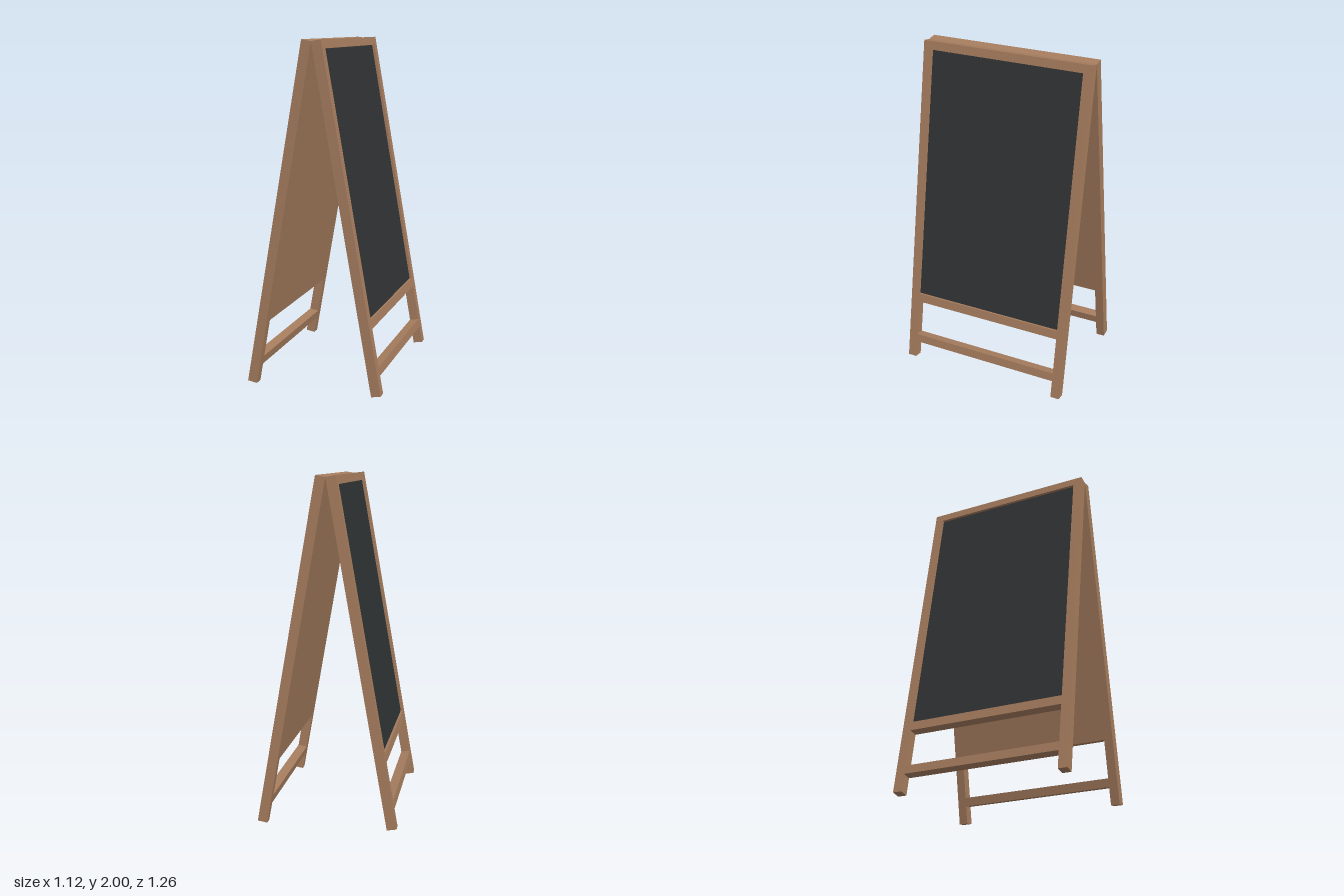
import * as THREE from 'three';

const WIDTH = 1.05, THICK = 0.057, BAR = 0.053, LEAN = THREE.MathUtils.degToRad(10);
const LENGTH = (2 - THICK * Math.sin(LEAN)) / Math.cos(LEAN);
const INNER = WIDTH - 2 * BAR;
const RECESS = 0.015, SLATE = 0.012;

const wood = new THREE.MeshStandardMaterial({ color: 0xa67d5e });
const slate = new THREE.MeshStandardMaterial({ color: 0x303334 });

// Box centred on x, spanning y0..y1 along the panel and z0..z1 through it
function slab(name, material, x, width, y0, y1, z0, z1) {
  const mesh = new THREE.Mesh(new THREE.BoxGeometry(width, y1 - y0, z1 - z0), material);
  mesh.name = name;
  mesh.position.set(x, (y0 + y1) / 2, (z0 + z1) / 2);
  return mesh;
}

// One leaning side: z = 0 is the inner face, z = THICK the outer face
function createPanel(name) {
  const panel = new THREE.Group();
  panel.name = name;

  // Legs run the full length
  for (const side of [-1, 1]) {
    panel.add(slab(side > 0 ? 'leftLeg' : 'rightLeg', wood,
      side * (WIDTH - BAR) / 2, BAR, 0, LENGTH, 0, THICK));
  }

  // Rails between the legs
  const rails = [
    ['topRail', LENGTH - 0.05, LENGTH],
    ['lowerRail', 0.383, 0.437],
    ['crossbar', 0.106, 0.157],
  ];
  for (const [railName, y0, y1] of rails) {
    panel.add(slab(railName, wood, 0, INNER, y0, y1, 0, THICK));
  }

  // Recessed writing surface with a wooden back flush to the inner face
  const back = THICK - RECESS - SLATE;
  panel.add(slab('backing', wood, 0, INNER, 0.437, LENGTH - 0.05, 0, back));
  panel.add(slab('chalkboard', slate, 0, INNER, 0.437, LENGTH - 0.05, back, THICK - RECESS));

  // Lean so the inner top edges of both sides meet at the ridge
  panel.rotation.x = -LEAN;
  panel.position.z = LENGTH * Math.sin(LEAN);
  return panel;
}

export function createModel() {
  const model = new THREE.Group();
  model.name = 'sandwichBoard';
  ['frontPanel', 'backPanel'].forEach((name, i) => {
    const half = new THREE.Group();
    half.name = name + 'Side';
    half.rotation.y = THREE.MathUtils.degToRad(70.6) + i * Math.PI;
    half.add(createPanel(name));
    model.add(half);
  });
  return model;
}
